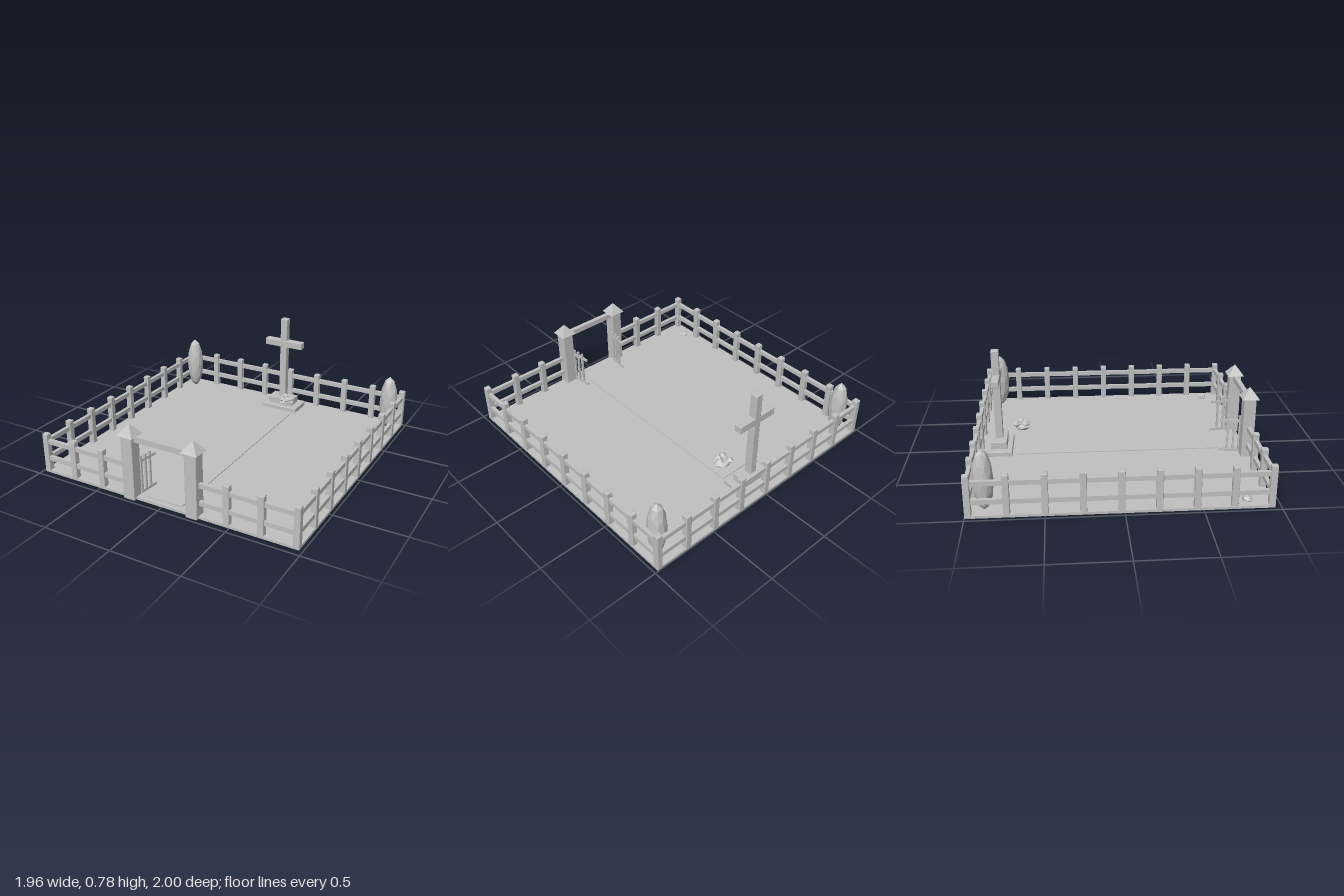
import * as THREE from 'three';
import { RoundedBoxGeometry } from 'three/addons/geometries/RoundedBoxGeometry.js';

export function createModel() {
  const model = new THREE.Group();
  model.name = 'fencedPlot';
  const stone = new THREE.MeshStandardMaterial({ color: 0xc0c0c0, flatShading: true });
  stone.name = 'paleGrey';

  function add(name, geometry, x, y, z, parent = model) {
    const mesh = new THREE.Mesh(geometry, stone);
    mesh.name = name;
    mesh.position.set(x, y, z);
    parent.add(mesh);
    return mesh;
  }
  // Plain box and softly bevelled box, both placed by the height of their underside
  const box = (name, w, h, d, x, y, z, parent) =>
    add(name, new THREE.BoxGeometry(w, h, d), x, y + h / 2, z, parent);
  const bevelBox = (name, w, h, d, x, y, z, parent) =>
    add(name, new RoundedBoxGeometry(w, h, d, 1, 0.005), x, y + h / 2, z, parent);

  const midZ = -0.02, half = 0.957, step = half / 4;
  const frontZ = midZ + half, backZ = midZ - half, gateX = 0.24;

  // Ground and path
  box('ground', 1.955, 0.018, 1.955, 0, 0.002, midZ);
  box('path', 0.26, 0.012, 1.635, 0, 0.014, 0.1025);

  // Fence posts
  const fence = new THREE.Group();
  fence.name = 'fence';
  model.add(fence);
  const post = (x, z) => bevelBox('fencePost', 0.043, 0.295, 0.043, x, 0, z, fence);
  for (let i = -4; i <= 4; i++) {
    post(i * step, backZ);
    if (Math.abs(i) > 1) post(i * step, frontZ);
    if (Math.abs(i) < 4) for (const s of [-1, 1]) post(s * half, midZ + i * step);
  }
  // Fence rails
  for (const y of [0.094, 0.222]) {
    box('backRail', 2 * half, 0.032, 0.026, 0, y, backZ, fence);
    for (const s of [-1, 1]) {
      box('sideRail', 0.026, 0.032, 2 * half, s * half, y, midZ, fence);
      box('frontRail', half - gateX, 0.032, 0.026, s * (half + gateX) / 2, y, frontZ, fence);
    }
  }

  // Gateway: pillars with pyramid caps, lintel and open leaves
  const gate = new THREE.Group();
  gate.name = 'gateway';
  model.add(gate);
  box('lintel', 2 * gateX, 0.04, 0.034, 0, 0.422, frontZ, gate);
  for (const s of [-1, 1]) {
    bevelBox('gatePillar', 0.086, 0.465, 0.086, s * gateX, 0, frontZ, gate);
    const cap = new THREE.ConeGeometry(0.085, 0.077, 4).rotateY(Math.PI / 4);
    add('pillarCap', cap, s * gateX, 0.5, frontZ, gate);
    const leaf = new THREE.Group();
    leaf.name = 'gateLeaf';
    leaf.position.set(s * 0.195, 0, 0.905);
    leaf.rotation.y = s * 0.12;
    for (const y of [0.025, 0.252]) box('leafRail', 0.012, 0.02, 0.15, 0, y, -0.075, leaf);
    for (const z of [-0.012, -0.052, -0.095]) box('leafPicket', 0.015, 0.27, 0.015, 0, 0.03, z, leaf);
    gate.add(leaf);
  }

  // Cross on a stepped plinth
  const crossZ = -0.84;
  bevelBox('plinthBase', 0.312, 0.055, 0.192, 0, 0, crossZ);
  bevelBox('plinthStep', 0.208, 0.06, 0.116, 0, 0.05, crossZ);
  bevelBox('crossUpright', 0.055, 0.675, 0.055, 0, 0.1, crossZ);
  bevelBox('crossArm', 0.316, 0.055, 0.056, 0, 0.541, crossZ);

  // Faceted ball stretched to the given radii
  const blob = (name, detail, rx, ry, x, y, z, turn = 0) => {
    const mesh = add(name, new THREE.IcosahedronGeometry(1, detail), x, y, z);
    mesh.scale.set(rx, ry, rx);
    mesh.rotation.y = turn;
  };
  // Tall shrubs at the back, stones at the front
  for (const s of [-1, 1]) blob('cypress', 1, 0.067, 0.213, s * 0.88, 0.222, -0.88);
  blob('stone', 0, 0.039, 0.03, -0.895, 0.025, 0.795, 0.4);
  blob('stone', 0, 0.039, 0.03, 0.878, 0.025, 0.815, 1.3);

  // Flower offering beside the cross
  blob('bouquetLeaves', 0, 0.066, 0.03, 0.108, 0.143, -0.672, 0.5);
  for (const [x, z] of [[0.077, -0.715], [0.138, -0.68], [0.08, -0.648], [0.118, -0.645]]) {
    const flower = add('flower', new THREE.OctahedronGeometry(0.034), x, 0.17, z);
    flower.scale.y = 0.75;
  }
  return model;
}
